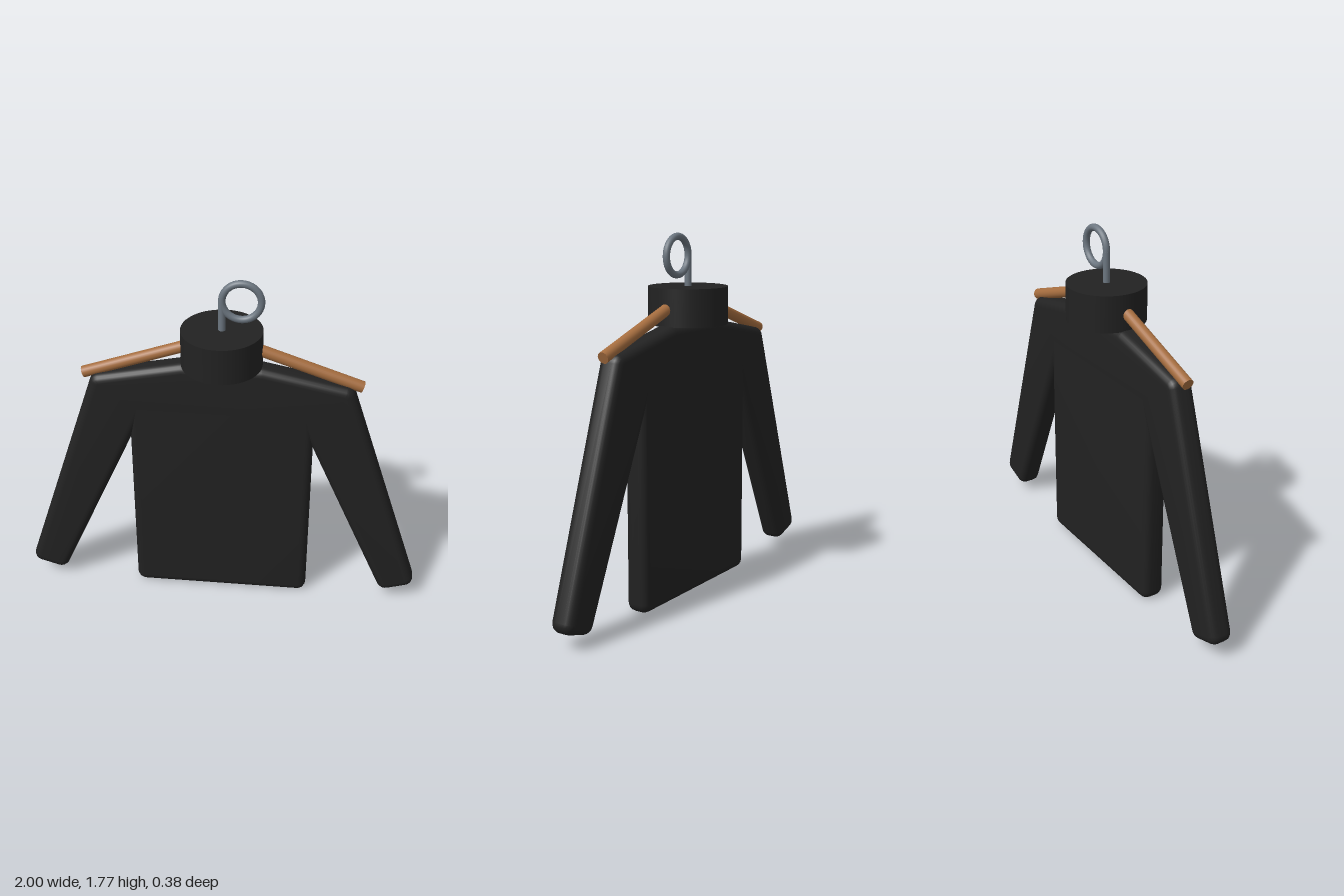
import * as THREE from 'three';
import { toCreasedNormals } from 'three/addons/utils/BufferGeometryUtils.js';

const BEVEL = 0.04;
const mat = (name, color) => {
  const m = new THREE.MeshStandardMaterial({ color });
  m.name = name;
  return m;
};

// Move every edge of a counter-clockwise outline inwards by d
function inset(points, d) {
  const n = points.length;
  return points.map((p, i) => {
    const a = p.clone().sub(points[(i + n - 1) % n]).normalize();
    const b = points[(i + 1) % n].clone().sub(p).normalize();
    const na = new THREE.Vector2(-a.y, a.x), nb = new THREE.Vector2(-b.y, b.x);
    const m = na.clone().add(nb);
    return p.clone().addScaledVector(m, d / (1 + na.dot(nb)));
  });
}

// Closed shape whose corners are slightly rounded
function roundedShape(points, r) {
  const shape = new THREE.Shape();
  const n = points.length;
  points.forEach((p, i) => {
    const toward = (q) => p.clone().addScaledVector(q.clone().sub(p).normalize(), r);
    const s = toward(points[(i + n - 1) % n]), e = toward(points[(i + 1) % n]);
    if (i === 0) shape.moveTo(s.x, s.y); else shape.lineTo(s.x, s.y);
    shape.quadraticCurveTo(p.x, p.y, e.x, e.y);
  });
  shape.closePath();
  return shape;
}

// Cylinder between two points in the xy plane
function rod(x0, y0, x1, y1, r, material, name) {
  const dir = new THREE.Vector3(x1 - x0, y1 - y0, 0);
  const mesh = new THREE.Mesh(new THREE.CylinderGeometry(r, r, dir.length(), 24), material);
  mesh.position.set((x0 + x1) / 2, (y0 + y1) / 2, 0);
  mesh.quaternion.setFromUnitVectors(new THREE.Vector3(0, 1, 0), dir.normalize());
  mesh.name = name;
  return mesh;
}

export function createModel() {
  const group = new THREE.Group();
  group.name = 'sweaterOnHanger';
  const fabric = mat('black fabric', 0x222222);
  const wood = mat('brown wood', 0xa56d3f);
  const steel = mat('grey steel', 0x6c7680);

  // Sweater: half outline from hem to neck, mirrored
  const half = [[0.445, 0], [0.445, 0.91], [0.835, 0.035], [1.01, 0.09], [0.62, 1.257], [0.19, 1.345]];
  const outline = [...half, ...half.map(([x, y]) => [-x, y]).reverse()]
    .map(([x, y]) => new THREE.Vector2(x, y));
  const bodyGeo = new THREE.ExtrudeGeometry(roundedShape(inset(outline, BEVEL), 0.008), {
    depth: 0.04, bevelEnabled: true, bevelSize: BEVEL, bevelThickness: BEVEL,
    bevelSegments: 5, curveSegments: 4,
  });
  bodyGeo.translate(0, 0, -0.02);
  const body = new THREE.Mesh(toCreasedNormals(bodyGeo, 0.6), fabric);
  body.name = 'sweaterBody';
  group.add(body);

  // Round collar
  const collar = new THREE.Mesh(new THREE.CylinderGeometry(0.192, 0.192, 0.18, 48), fabric);
  collar.position.y = 1.43;
  collar.name = 'collar';
  group.add(collar);

  // Sloping wooden hanger arms
  for (const s of [-1, 1]) {
    group.add(rod(0, 1.485, s * 0.664, 1.253, 0.028, wood, s > 0 ? 'leftHangerArm' : 'rightHangerArm'));
  }

  // Hook: stem and ring
  group.add(rod(0, 1.45, 0, 1.67, 0.017, steel, 'hookStem'));
  const ring = new THREE.Mesh(new THREE.TorusGeometry(0.09, 0.017, 14, 48), steel);
  ring.position.set(0.09, 1.668, 0);
  ring.name = 'hookRing';
  group.add(ring);

  return group;
}
